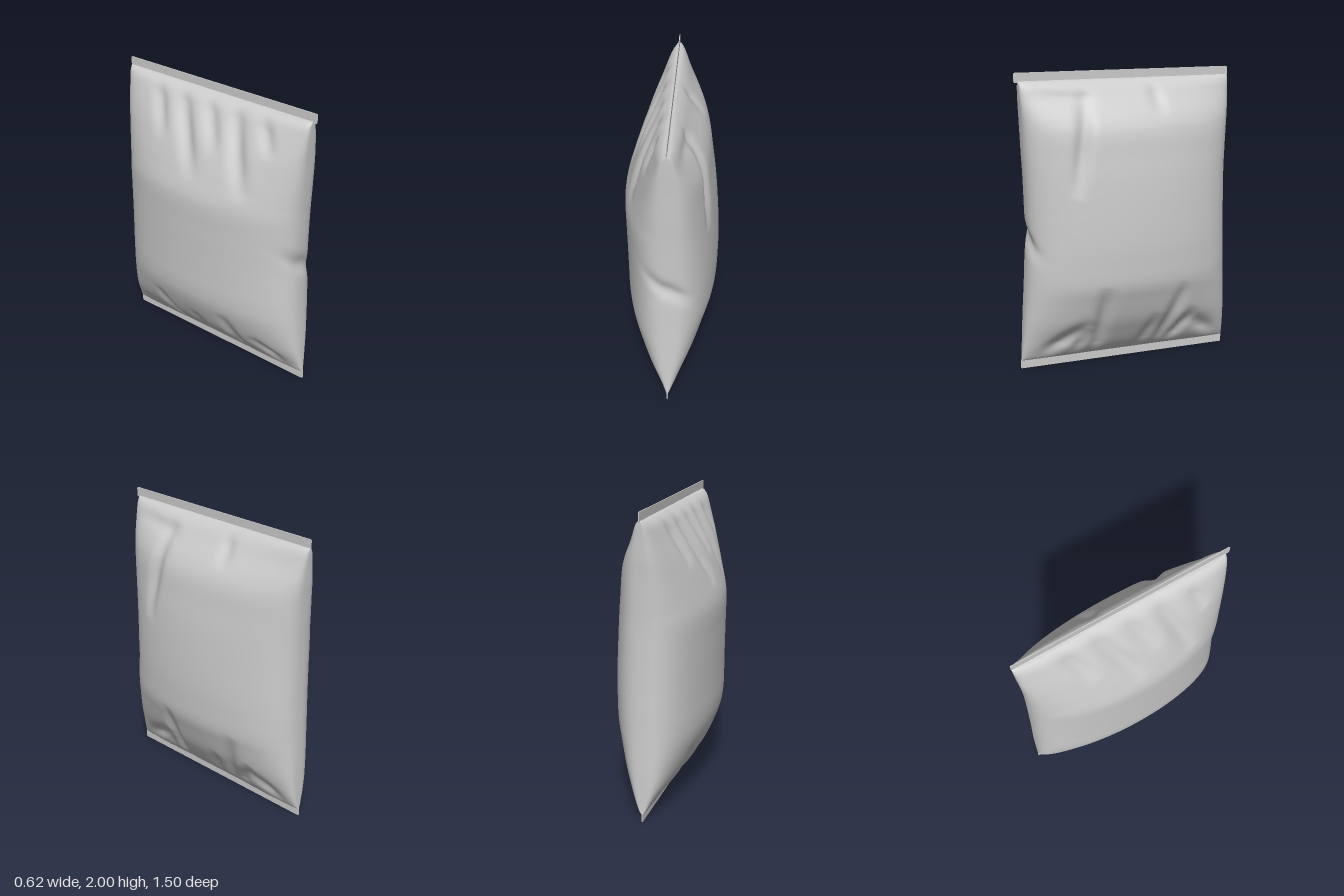
import * as THREE from 'three';

const { lerp, clamp } = THREE.MathUtils;
const material = new THREE.MeshStandardMaterial({ color: 0xcccccc, side: THREE.DoubleSide });

// Pillow profile by height: [y, bulge +x, bulge -x, reach +z, reach -z]
const PROFILE = [
  [0.055, 0.004, 0.004, 0.748, 0.748],
  [0.07, 0.04, 0.035, 0.745, 0.746],
  [0.13, 0.09, 0.085, 0.74, 0.743],
  [0.23, 0.15, 0.165, 0.733, 0.74],
  [0.34, 0.21, 0.225, 0.725, 0.737],
  [0.48, 0.263, 0.28, 0.715, 0.732],
  [0.6, 0.3, 0.3, 0.707, 0.728],
  [0.75, 0.309, 0.304, 0.699, 0.724],
  [0.9, 0.31, 0.307, 0.69, 0.72],
  [1.1, 0.3, 0.311, 0.692, 0.717],
  [1.3, 0.283, 0.311, 0.697, 0.716],
  [1.45, 0.263, 0.272, 0.704, 0.721],
  [1.6, 0.24, 0.22, 0.71, 0.728],
  [1.7, 0.2, 0.18, 0.714, 0.735],
  [1.82, 0.122, 0.122, 0.72, 0.741],
  [1.9, 0.075, 0.08, 0.723, 0.746],
  [1.935, 0.04, 0.04, 0.723, 0.747],
  [1.945, 0.004, 0.004, 0.722, 0.747],
];

// Creases pressed into each face: [z1, y1, z2, y2, depth, width]
const CREASES = {
  right: [
    [0.31, 1.84, 0.41, 1.2, 0.035, 0.045],
    [0.6, 1.86, 0.2, 1.81, 0.012, 0.04],
    [-0.17, 1.92, -0.2, 1.7, 0.02, 0.045],
    [0.24, 0.08, 0.22, 0.6, 0.035, 0.045],
    [0.62, 0.1, 0.28, 0.34, 0.035, 0.05],
    [0.4, 0.08, 0.3, 0.28, 0.02, 0.04],
    [-0.2, 0.08, -0.36, 0.58, 0.03, 0.045],
    [-0.08, 0.08, -0.17, 0.36, 0.02, 0.04],
    [-0.28, 0.08, -0.46, 0.36, 0.03, 0.04],
    [-0.66, 0.1, -0.42, 0.3, 0.025, 0.05],
  ],
  left: [
    [-0.45, 1.92, -0.3, 1.6, 0.025, 0.05],
    [-0.24, 1.92, 0.0, 1.42, 0.035, 0.055],
    [-0.02, 1.92, 0.14, 1.6, 0.025, 0.05],
    [0.2, 1.92, 0.38, 1.38, 0.035, 0.055],
    [0.42, 1.9, 0.52, 1.68, 0.02, 0.045],
    [0.3, 0.08, 0.22, 0.45, 0.025, 0.045],
    [0.0, 0.08, -0.05, 0.35, 0.02, 0.045],
    [-0.25, 0.08, -0.38, 0.42, 0.025, 0.045],
    [0.62, 0.1, 0.4, 0.3, 0.025, 0.045],
  ],
};

// Depth of a crease at a point: a valley with soft ridges, fading at its ends
function creaseDepth([z1, y1, z2, y2, depth, width], z, y) {
  const dz = z2 - z1, dy = y2 - y1;
  const raw = ((z - z1) * dz + (y - y1) * dy) / (dz * dz + dy * dy);
  const t = clamp(raw, 0, 1);
  const q = ((z - z1 - t * dz) ** 2 + (y - y1 - t * dy) ** 2) / (width * width);
  return depth * Math.exp(-q / 1.5) * (1 - 0.25 * q) * Math.sin(Math.PI * (0.1 + 0.9 * t));
}

// Puffed body: rounded rings that flatten toward the seals, with full corners
function pillowGeometry(around = 200, rings = 170) {
  const bulge = new THREE.CatmullRomCurve3(
    PROFILE.map(([y, r, l]) => new THREE.Vector3(r, y, l)), false, 'catmullrom', 0.5);
  const reach = new THREE.CatmullRomCurve3(
    PROFILE.map(([y, , , f, b]) => new THREE.Vector3(f, y, b)), false, 'catmullrom', 0.5);
  const positions = [], index = [];
  for (let j = 0; j <= rings; j++) {
    const b = bulge.getPoint(j / rings), r = reach.getPoint(j / rings);
    // the middle of each face hugs the seals more than the corners do
    const hug = 0.45 * Math.exp(-Math.min(b.y - 0.055, 1.945 - b.y) / 0.04);
    for (let i = 0; i < around; i++) {
      const a = (i / around) * Math.PI * 2;
      const c = Math.cos(a), s = Math.sin(a);
      const z = c * (c > 0 ? r.x : r.z);
      const side = s >= 0 ? 'right' : 'left';
      const width = s >= 0 ? b.x : b.z;
      // a lower power makes a fuller corner; the lower front corner is the most pointed
      const corner = c > 0 ? lerp(0.62, 0.3, b.y / 2) : lerp(0.32, 0.45, b.y / 2);
      const power = lerp(corner, 0.8, Math.min(1, width / 0.3) ** 1.5);
      const thick = width * Math.abs(s) ** power * (1 - hug * s ** 4);
      let dent = 0;
      for (const crease of CREASES[side]) dent += creaseDepth(crease, z, b.y);
      const x = Math.max(thick - dent * Math.min(1, thick / 0.1), thick * 0.3);
      // slanted pinch across the front edge
      const pinch = c > 0 ? 0.025 * c ** 14 * Math.exp(-(((b.y - 0.92 + s * 0.25) / 0.06) ** 2)) : 0;
      positions.push(Math.sign(s) * x, b.y, z - pinch);
      if (j < rings) {
        const p = j * around + i, q = j * around + ((i + 1) % around);
        index.push(p, q, p + around, q, q + around, p + around);
      }
    }
  }
  const geometry = new THREE.BufferGeometry();
  geometry.setAttribute('position', new THREE.Float32BufferAttribute(positions, 3));
  geometry.setIndex(index);
  geometry.computeVertexNormals();
  return geometry;
}

// Flat welded strip with slightly rounded corners
function sealGeometry(height, length = 1.5, thickness = 0.006, r = 0.012) {
  const w = length / 2, h = height / 2;
  const shape = new THREE.Shape();
  shape.moveTo(-w + r, -h);
  shape.lineTo(w - r, -h).quadraticCurveTo(w, -h, w, -h + r);
  shape.lineTo(w, h - r).quadraticCurveTo(w, h, w - r, h);
  shape.lineTo(-w + r, h).quadraticCurveTo(-w, h, -w, h - r);
  shape.lineTo(-w, -h + r).quadraticCurveTo(-w, -h, -w + r, -h);
  return new THREE.ExtrudeGeometry(shape, { depth: thickness, bevelEnabled: false, curveSegments: 4 })
    .translate(0, 0, -thickness / 2)
    .rotateY(Math.PI / 2);
}

export function createModel() {
  const bag = new THREE.Group();
  bag.name = 'snackBag';
  const add = (name, geometry, y = 0) => {
    const mesh = new THREE.Mesh(geometry, material);
    mesh.name = name;
    mesh.position.y = y;
    bag.add(mesh);
  };
  add('pillowBody', pillowGeometry());
  add('bottomSeal', sealGeometry(0.065), 0.0325);
  add('topSeal', sealGeometry(0.065), 1.9675);
  return bag;
}
